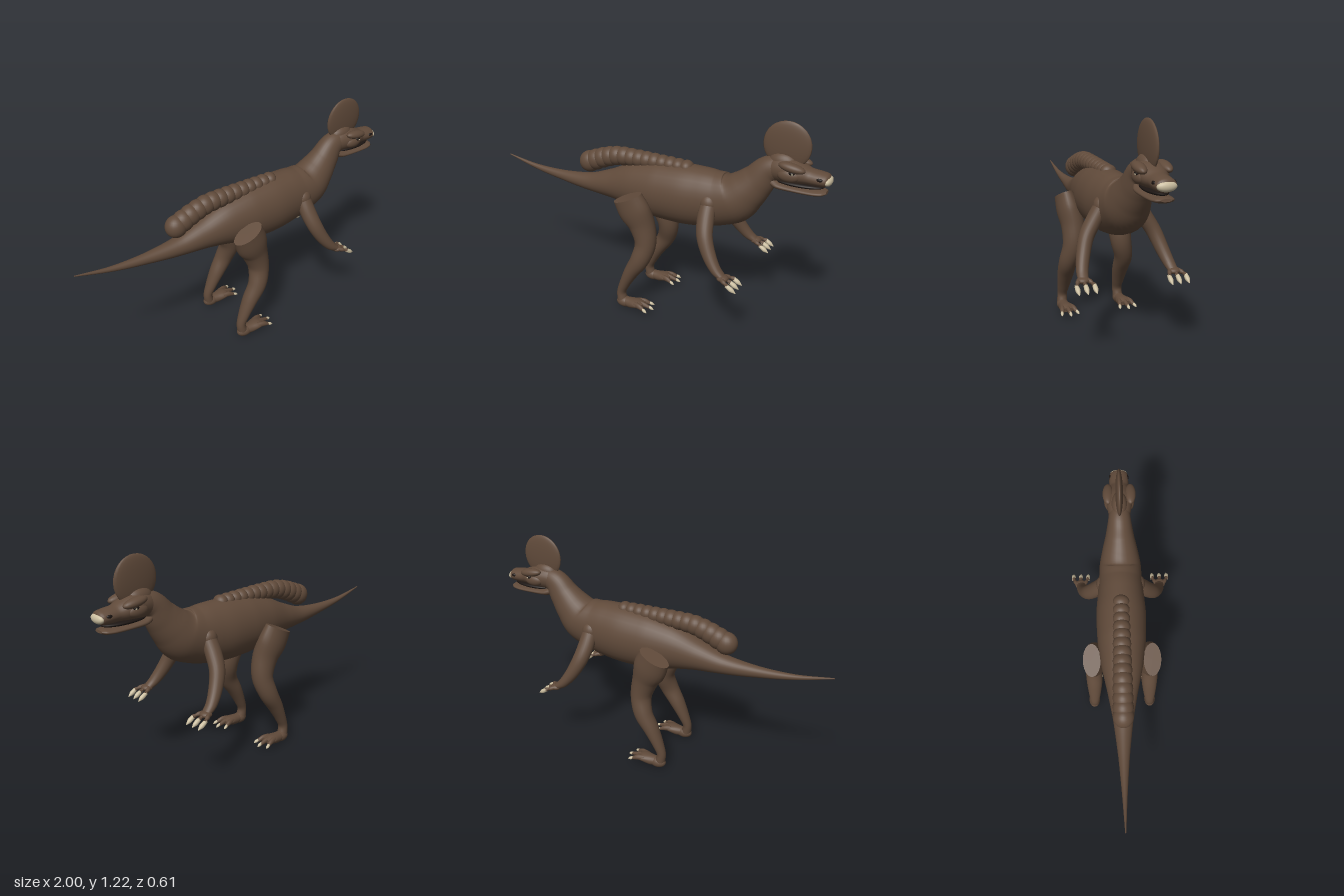
import * as THREE from 'three';

const material = (name, color, side = THREE.FrontSide) => {
  const m = new THREE.MeshStandardMaterial({ color, side });
  m.name = name;
  return m;
};

// Smooth capped skin over elliptical sections [x, y, z, in-plane radius, side radius]
function loft(sections, steps = 5, sides = 24) {
  const path = new THREE.CatmullRomCurve3(sections.map(s => new THREE.Vector3(s[0], s[1], s[2])));
  const size = new THREE.CatmullRomCurve3(sections.map(s => new THREE.Vector3(s[3], s[4], 0)));
  const rings = (sections.length - 1) * steps;
  const pos = [], idx = [];
  const addRing = (i) => {
    const t = i / rings, c = path.getPoint(t), r = size.getPoint(t), tan = path.getTangent(t);
    const side = new THREE.Vector3(0, 0, 1).addScaledVector(tan, -tan.z).normalize();
    const up = new THREE.Vector3().crossVectors(side, tan);
    for (let j = 0; j < sides; j++) {
      const a = j / sides * Math.PI * 2;
      const p = c.clone().addScaledVector(up, r.x * Math.cos(a)).addScaledVector(side, r.y * Math.sin(a));
      pos.push(p.x, p.y, p.z);
    }
    return c;
  };
  for (let i = 0; i <= rings; i++) addRing(i);
  for (let i = 0; i < rings; i++) for (let j = 0; j < sides; j++) {
    const a = i * sides + j, b = i * sides + (j + 1) % sides;
    idx.push(a, b, a + sides, b, b + sides, a + sides);
  }
  for (const end of [0, rings]) {
    const base = pos.length / 3, c = addRing(end);
    pos.push(c.x, c.y, c.z);
    for (let j = 0; j < sides; j++) {
      const a = base + j, b = base + (j + 1) % sides;
      idx.push(base + sides, ...(end ? [a, b] : [b, a]));
    }
  }
  const g = new THREE.BufferGeometry();
  g.setAttribute('position', new THREE.Float32BufferAttribute(pos, 3));
  g.setIndex(idx);
  g.computeVertexNormals();
  return g;
}

export function createModel() {
  const model = new THREE.Group();
  const skin = material('brown skin', 0x604a3a);
  const claw = material('ivory claw', 0xcabd9f);
  const dark = material('dark mouth', 0x1c1512);

  const add = (name, geometry, mat = skin, parent = model) => {
    const mesh = new THREE.Mesh(geometry, mat);
    mesh.name = name;
    parent.add(mesh);
    return mesh;
  };
  const ball = (name, [x, y, z], [rx, ry, rz], mat = skin, parent = model) => {
    const mesh = add(name, new THREE.SphereGeometry(1, 24, 16), mat, parent);
    mesh.position.set(x, y, z);
    mesh.scale.set(rx, ry, rz);
    return mesh;
  };

  // Tail, trunk and neck in one skin
  add('body', loft([
    [-1, .73, 0, .003, .003], [-.8, .687, 0, .015, .015], [-.6, .667, 0, .031, .031],
    [-.4, .665, 0, .055, .055], [-.25, .685, 0, .088, .083], [-.1, .705, 0, .135, .115],
    [.05, .71, 0, .165, .135], [.2, .715, 0, .172, .14], [.33, .723, 0, .165, .13],
    [.42, .733, 0, .15, .122], [.495, .755, 0, .137, .117], [.56, .812, 0, .112, .1],
    [.615, .875, 0, .092, .08], [.67, .945, 0, .073, .064], [.74, .97, 0, .06, .055],
  ], 6, 32));

  // Row of overlapping balls along the back
  const ridge = new THREE.CatmullRomCurve3([
    [.21, .872, 0], [.05, .87, 0], [-.1, .867, 0], [-.22, .86, 0], [-.3, .838, 0], [-.41, .793, 0],
  ].map(p => new THREE.Vector3(...p)));
  for (let i = 0; i < 14; i++) {
    const t = i / 13, p = ridge.getPointAt(t), r = .038 + .025 * t;
    ball('backBall', [p.x, p.y, 0], [r, r, .045 + .012 * t]);
  }

  // Head: skull and snout, lower jaw, mouth lining, crest
  const head = new THREE.Group();
  head.name = 'head';
  model.add(head);
  add('skull', loft([
    [.68, .955, 0, .06, .055], [.735, .965, 0, .066, .068], [.79, .965, 0, .062, .078],
    [.84, .957, 0, .052, .07], [.885, .95, 0, .041, .054], [.935, .947, 0, .038, .054],
    [.968, .945, 0, .034, .05], [.985, .942, 0, .018, .03],
  ]), skin, head);
  add('lowerJaw', loft([
    [.69, .895, 0, .025, .045], [.73, .882, 0, .022, .058], [.82, .877, 0, .018, .06],
    [.91, .876, 0, .016, .058], [.955, .878, 0, .014, .048], [.975, .881, 0, .007, .028],
  ]), skin, head);
  ball('mouthLining', [.83, .903, 0], [.13, .016, .05], dark, head);
  ball('noseTip', [.975, .943, 0], [.022, .025, .048], claw, head);
  ball('crest', [.755, 1.09, 0], [.125, .125, .021], skin, head);
  ball('crestBase', [.74, 1.0, 0], [.075, .052, .045], skin, head);
  for (const s of [1, -1]) {
    const brow = ball('brow', [.805, 1.0, s * .062], [.07, .024, .03], skin, head);
    brow.rotation.z = -.15;
    ball('cheek', [.79, .955, s * .055], [.06, .035, .03], skin, head);
    ball('eye', [.81, .976, s * .073], [.016, .011, .013], dark, head);
    ball('eyeGlint', [.815, .973, s * .083], [.006, .004, .005], claw, head);
    ball('nostril', [.942, .956, s * .049], [.016, .009, .007], dark, head);
  }

  // Claw tapering from one point to another
  const addClaw = (name, from, to, r, parent) => {
    const mid = from.map((v, i) => v * .5 + to[i] * .5);
    add(name, loft([[...from, r * .8, r * .8], [...mid, r, r], [...to, r * .15, r * .15]], 4, 12), claw, parent);
  };

  for (const s of [1, -1]) {
    const label = s > 0 ? 'left' : 'right';

    // Arm, hand and three clawed fingers
    const arm = new THREE.Group();
    arm.name = label + 'Arm';
    model.add(arm);
    ball('shoulder', [.385, .73, s * .095], [.05, .055, .045], skin, arm);
    add('armLimb', loft([
      [.385, .74, s * .09, .045, .04], [.39, .66, s * .138, .047, .042], [.408, .58, s * .185, .044, .04],
      [.45, .495, s * .215, .037, .036], [.5, .43, s * .235, .028, .031], [.54, .402, s * .242, .018, .027],
    ]), skin, arm);
    ball('palm', [.543, .4, s * .244], [.032, .018, .034], skin, arm);
    for (const k of [-1, 0, 1]) {
      const z = s * (.245 + k * .045);
      add('finger', loft([
        [.54, .402, s * (.244 + k * .018), .013, .013], [.565, .396, s * (.245 + k * .034), .012, .012],
        [.59, .387, z, .012, .012],
      ], 4, 12), skin, arm);
      addClaw('fingerClaw', [.582, .39, z], [.635, .357, z], .013, arm);
    }

    // Leg, foot and three clawed toes
    const leg = new THREE.Group();
    leg.name = label + 'Leg';
    model.add(leg);
    add('legLimb', loft([
      [-.065, .7, s * .168, .092, .05], [-.03, .62, s * .155, .097, .062], [.005, .54, s * .137, .078, .066],
      [.032, .43, s * .142, .061, .06], [.008, .33, s * .166, .054, .052], [-.045, .24, s * .168, .043, .047],
      [-.09, .15, s * .17, .031, .036], [-.112, .09, s * .172, .026, .028], [-.105, .04, s * .174, .03, .03],
    ]), skin, leg);
    ball('heel', [-.09, .032, s * .175], [.05, .032, .034], skin, leg);
    add('foot', loft([
      [-.11, .04, s * .175, .022, .025], [-.05, .034, s * .175, .03, .035],
      [0, .042, s * .175, .024, .044], [.035, .042, s * .175, .012, .036],
    ]), skin, leg);
    for (const k of [-1, 0, 1]) {
      const z = s * (.175 + k * .042), reach = k ? 0 : .02;
      add('toe', loft([
        [-.01, .045, s * (.175 + k * .024), .018, .016], [.025, .045, s * (.175 + k * .034), .016, .014],
        [.055 + reach, .036, z, .009, .01],
      ], 4, 12), skin, leg);
      addClaw('toeClaw', [.05 + reach, .04, z], [.08 + reach, .027, z + s * k * .008], .009, leg);
    }
  }
  return model;
}
